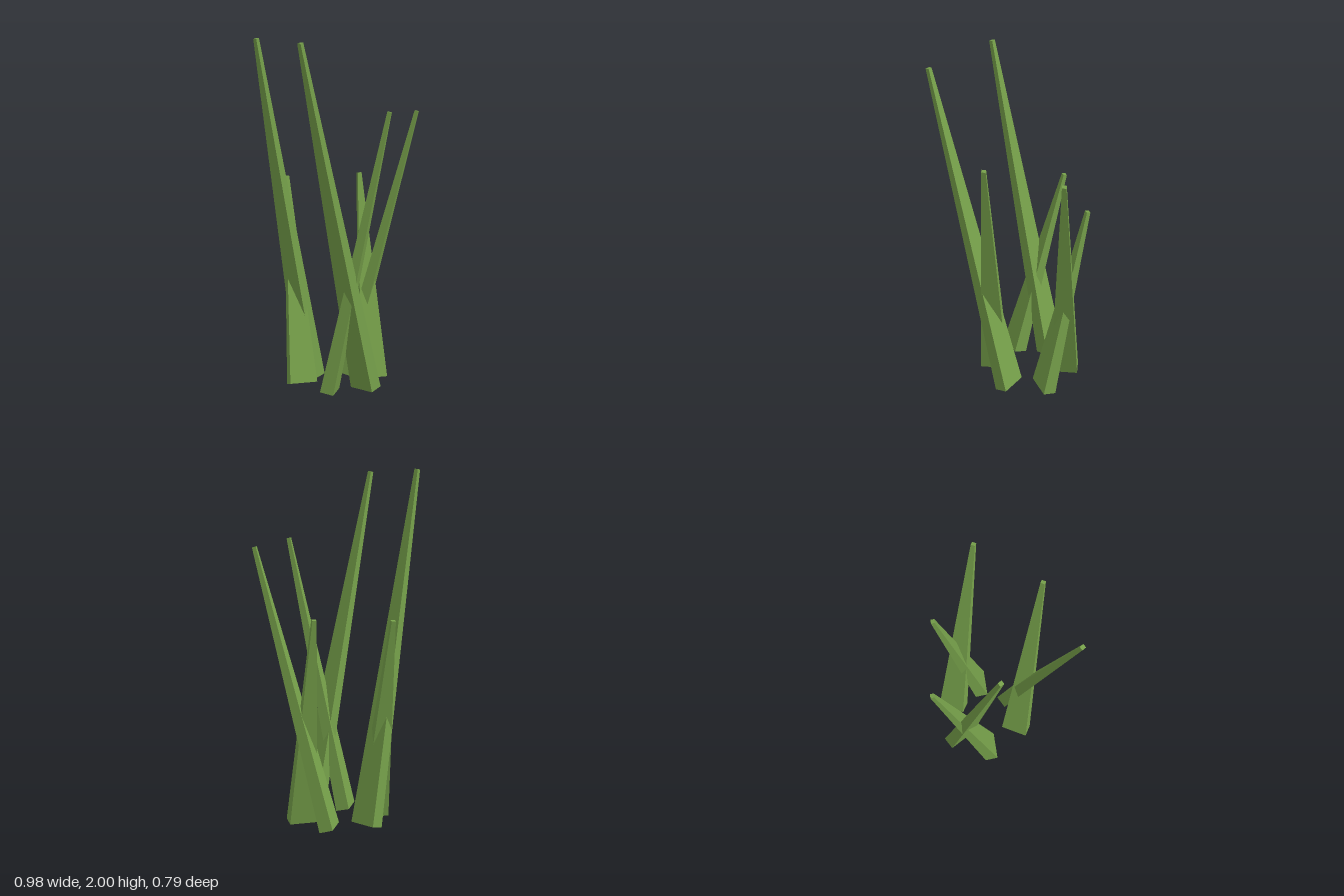
import * as THREE from 'three';

const UNIT = 0.4073; // blade lengths are 5, 4 and 3 units
const BASE = { width: 0.162, depth: 0.078 };
const TIP = { width: 0.024, depth: 0.022 };

// Upright box standing on y = 0, tapered towards the tip
function bladeGeometry(length) {
  const geometry = new THREE.BoxGeometry(1, length, 1).translate(0, length / 2, 0);
  const pos = geometry.attributes.position;
  for (let i = 0; i < pos.count; i++) {
    const size = pos.getY(i) > length / 2 ? TIP : BASE;
    pos.setX(i, pos.getX(i) * size.width);
    pos.setZ(i, pos.getZ(i) * size.depth);
  }
  geometry.computeVertexNormals();
  return geometry;
}

// Each blade leans over its flat side: base x, base z, turn and lean in degrees
const clumps = {
  rightClump: [
    { name: 'tallBlade', units: 5, x: -0.111, z: -0.261, turn: 120, lean: 12 },
    { name: 'shortBlade', units: 3, x: -0.216, z: -0.073, turn: 0, lean: 15 },
  ],
  leftClump: [
    { name: 'mediumBlade', units: 4, x: 0.11, z: -0.261, turn: -120, lean: 15 },
    { name: 'shortBlade', units: 3, x: 0.216, z: -0.073, turn: 0, lean: 12 },
  ],
  frontClump: [
    { name: 'tallBlade', units: 5, x: 0.112, z: 0.114, turn: 120, lean: 15 },
    { name: 'mediumBlade', units: 4, x: -0.105, z: 0.114, turn: -120, lean: 12 },
  ],
};

export function createModel() {
  const model = new THREE.Group();
  model.name = 'grassTuft';
  const green = new THREE.MeshStandardMaterial({ color: 0x76a04a });
  green.name = 'grassGreen';

  for (const [clumpName, blades] of Object.entries(clumps)) {
    const clump = new THREE.Group();
    clump.name = clumpName;
    for (const { name, units, x, z, turn, lean } of blades) {
      const angle = THREE.MathUtils.degToRad(lean);
      const blade = new THREE.Mesh(bladeGeometry(units * UNIT), green);
      blade.name = name;
      // Lift so the lowest base edge touches the ground
      blade.position.set(x, (BASE.depth / 2) * Math.sin(angle), z);
      blade.rotation.set(-angle, THREE.MathUtils.degToRad(turn), 0, 'YXZ');
      clump.add(blade);
    }
    model.add(clump);
  }
  return model;
}
